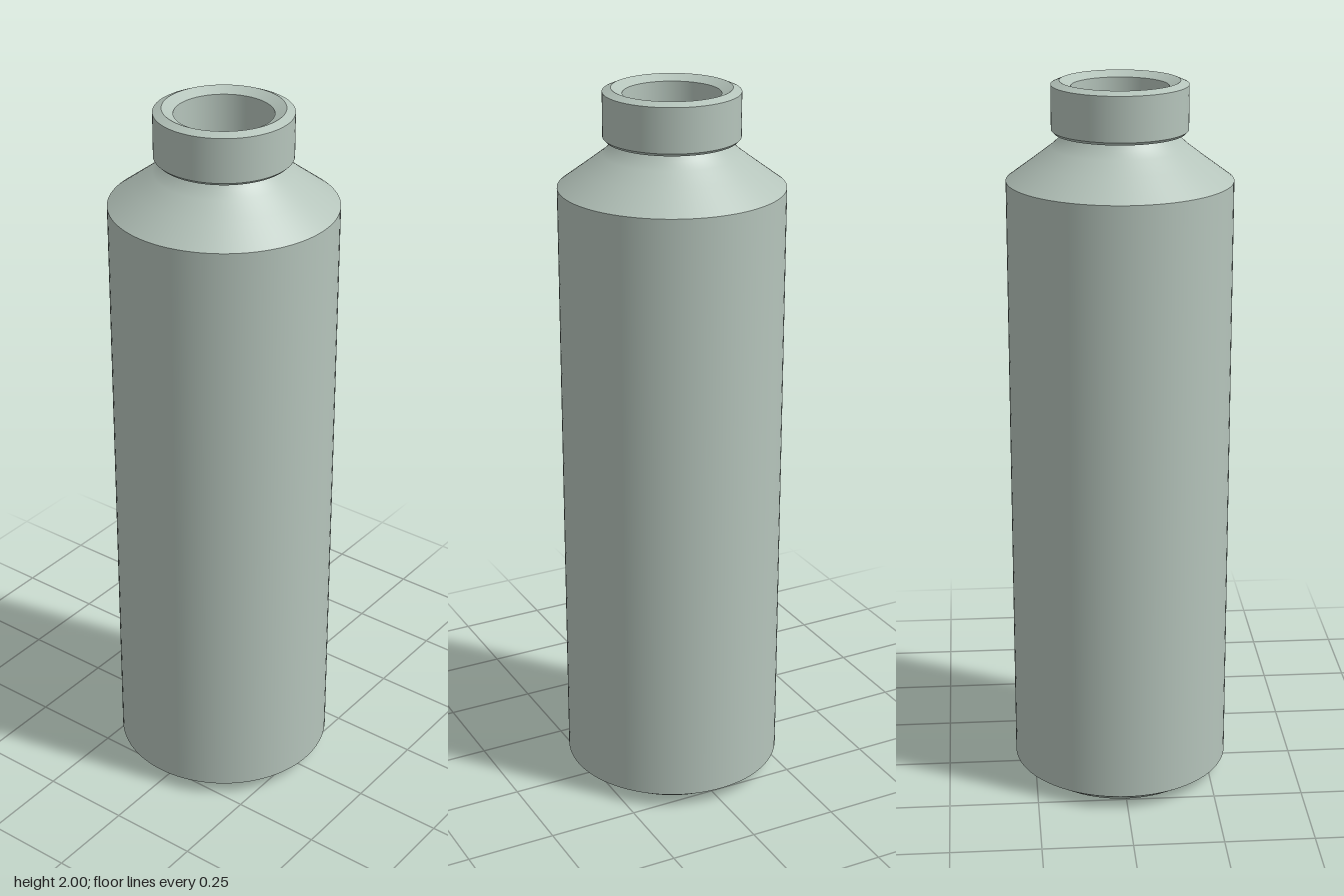
import * as THREE from 'three';

const SEGMENTS = 96;

export function createModel() {
  const model = new THREE.Group();
  model.name = 'bottle';

  const sage = new THREE.MeshStandardMaterial({ color: 0xb5c4bb });
  sage.name = 'pale sage';

  // Each band is its own lathe, so edges between bands stay sharp.
  // Profiles run up the outside and down the inside to face outward.
  const addBand = (name, points) => {
    const profile = points.map(([r, y]) => new THREE.Vector2(r, y));
    const mesh = new THREE.Mesh(new THREE.LatheGeometry(profile, SEGMENTS), sage);
    mesh.name = name;
    model.add(mesh);
  };

  // Body with chamfered, open base
  addBand('baseChamfer', [[0.245, 0], [0.305, 0.04]]);
  addBand('bodyWall', [[0.305, 0.04], [0.305, 1.735]]);

  // Shoulder sweeping up into the neck
  addBand('shoulder', [[0.305, 1.735], [0.235, 1.787], [0.185, 1.825], [0.163, 1.845], [0.15, 1.864]]);

  // Collar around the mouth
  addBand('collarUnderside', [[0.15, 1.864], [0.175, 1.862]]);
  addBand('collarLowerBevel', [[0.175, 1.862], [0.183, 1.87]]);
  addBand('collarWall', [[0.183, 1.87], [0.183, 1.99]]);
  addBand('rim', [[0.183, 1.99], [0.16, 2]]);
  addBand('mouthBevel', [[0.16, 2], [0.13, 1.985]]);

  // Hollow interior, open at both ends
  addBand('mouthWall', [[0.13, 1.985], [0.13, 1.83]]);
  addBand('innerShoulder', [[0.13, 1.83], [0.245, 1.735]]);
  addBand('innerWall', [[0.245, 1.735], [0.245, 0]]);

  return model;
}
